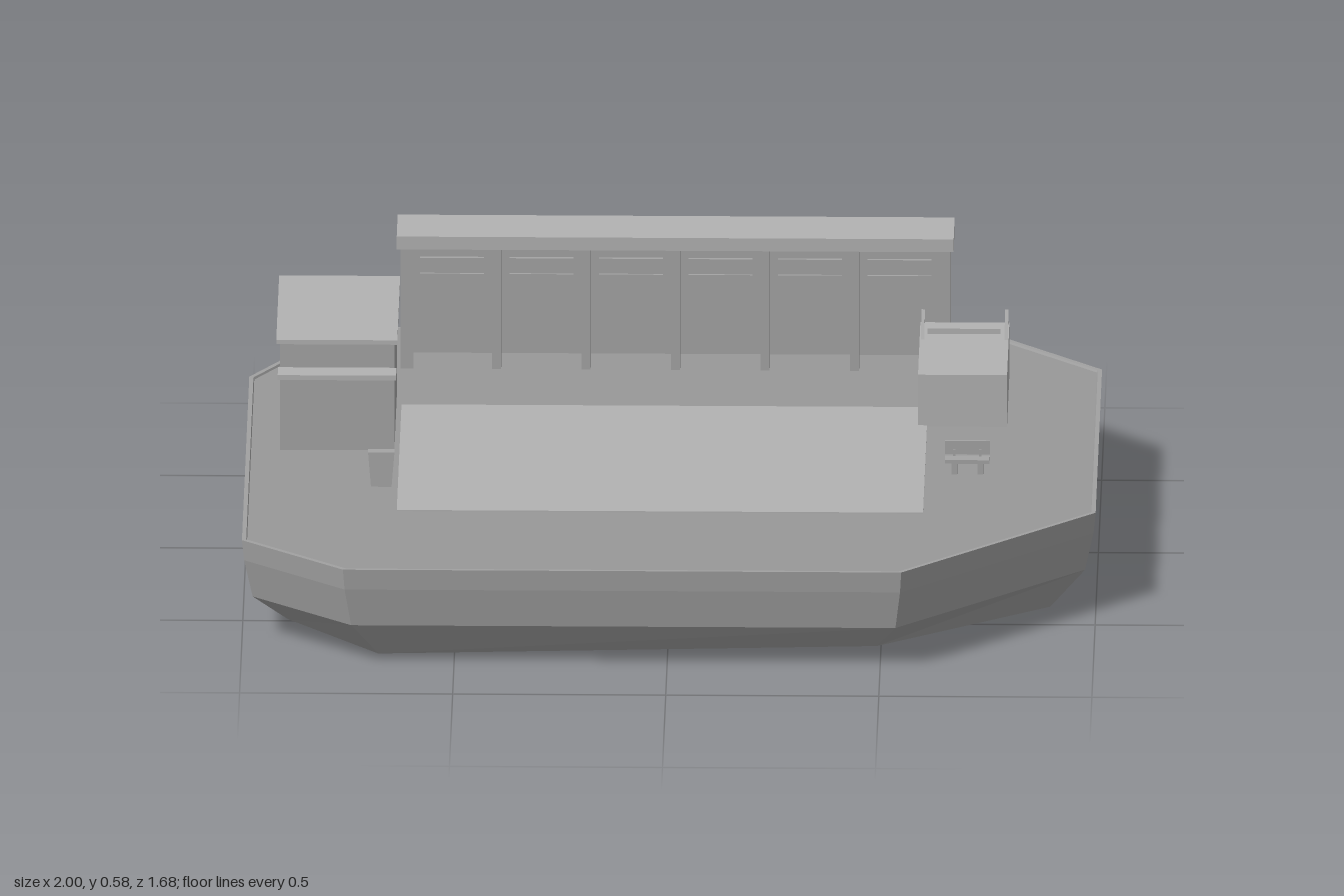
import * as THREE from 'three';

const paint = (color) => new THREE.MeshStandardMaterial({ color, side: THREE.DoubleSide });
const hullPaint = paint(0xa0a0a0);
const deckPaint = paint(0x989898);
const wallPaint = paint(0xa4a4a4);
const topPaint = paint(0xb2b2b2);
const DECK = 0.246;

// Box given by its limits on each axis
function block(parent, name, [x0, x1], [y0, y1], [z0, z1], material = wallPaint) {
  const mesh = new THREE.Mesh(new THREE.BoxGeometry(x1 - x0, y1 - y0, z1 - z0), material);
  mesh.position.set((x0 + x1) / 2, (y0 + y1) / 2, (z0 + z1) / 2);
  mesh.name = name;
  parent.add(mesh);
  return mesh;
}

function part(parent, name) {
  const group = new THREE.Group();
  group.name = name;
  parent.add(group);
  return group;
}

function surface(parent, name, corners, material) {
  const geo = new THREE.BufferGeometry();
  geo.setAttribute('position', new THREE.Float32BufferAttribute(corners, 3));
  geo.computeVertexNormals();
  const mesh = new THREE.Mesh(geo, material);
  mesh.name = name;
  parent.add(mesh);
  return mesh;
}

// Eight-sided hull: rings of the outline joined from deck to keel
function addHull(model) {
  const outline = [[-0.78, -0.84], [0.71, -0.84], [1, -0.57], [1, 0.42],
    [0.55, 0.84], [-0.76, 0.84], [-1, 0.64], [-1, -0.49]];
  const keelY = [0.01, 0.03, 0.015, 0, 0.035, 0.01, 0.03, 0.03];
  const ring = (scale, y) => outline.map(([x, z], i) => [x * scale, y ?? keelY[i], z * scale]);
  const rings = [ring(0.988, DECK), ring(0.99, 0.251), ring(1, 0.251), ring(0.995, 0.2), ring(0.975, 0.105), ring(0.893)];
  const keel = rings[rings.length - 1];
  const deck = [], sides = [], bottom = [];
  const n = outline.length;
  for (let i = 0; i < n; i++) {
    const j = (i + 1) % n;
    deck.push(0, DECK, 0, ...rings[0][j], ...rings[0][i]);
    for (let r = 0; r < rings.length - 1; r++) {
      const [a, b, c, d] = [rings[r][i], rings[r][j], rings[r + 1][j], rings[r + 1][i]];
      sides.push(...a, ...b, ...c, ...a, ...c, ...d);
    }
    bottom.push(0, 0.022, 0, ...keel[i], ...keel[j]);
  }
  const hull = part(model, 'hull');
  surface(hull, 'deck', deck, deckPaint);
  surface(hull, 'hullSides', sides, hullPaint);
  // The keel is shaded as one even face
  const normals = surface(hull, 'keel', bottom, deckPaint).geometry.attributes.normal;
  for (let i = 0; i < normals.count; i++) normals.setXYZ(i, 0, -1, 0);
}

// Long open-fronted shelter with six bays
function addShelter(model) {
  const shelter = part(model, 'shelter');
  block(shelter, 'shelterRoof', [-0.655, 0.652], [0.547, 0.579], [-0.707, -0.555], topPaint);
  block(shelter, 'backWall', [-0.645, 0.643], [DECK, 0.547], [-0.695, -0.677]);
  const pitch = 0.21;
  for (let i = 0; i <= 6; i++) {
    const x = -0.631 + i * pitch;
    const half = i % 6 === 0 ? 0.015 : 0.011;
    block(shelter, 'shelterPost', [x - half, x + half], [DECK, 0.547], [-0.592, -0.566]);
    if (i === 6) continue;
    block(shelter, 'bayPanel', [x + 0.03, x + 0.18], [0.28, 0.47], [-0.608, -0.602]);
    block(shelter, 'baySign', [x + 0.03, x + 0.18], [0.487, 0.513], [-0.601, -0.592]);
  }
}

// Kiosk with flat roof, awning and slim hanging strips
function addKiosk(model) {
  const kiosk = part(model, 'kiosk');
  block(kiosk, 'kioskWalls', [-0.92, -0.652], [DECK, 0.513], [-0.42, 0]);
  block(kiosk, 'kioskRoof', [-0.929, -0.645], [0.513, 0.524], [-0.435, 0.01], topPaint);
  block(kiosk, 'awning', [-0.925, -0.647], [0.44, 0.452], [0, 0.055], topPaint);
  for (const x of [-0.86, -0.79, -0.715]) {
    block(kiosk, 'kioskStrip', [x - 0.005, x + 0.005], [0.32, 0.425], [0, 0.008]);
  }
}

// Low hut with a sloping rack on its roof
function addHut(model) {
  const hut = part(model, 'hut');
  block(hut, 'hutBody', [0.574, 0.783], [DECK, 0.375], [-0.547, -0.184], topPaint);
  block(hut, 'rackBox', [0.592, 0.763], [0.375, 0.388], [-0.51, -0.467], topPaint);
  for (const x of [0.581, 0.777]) {
    const rail = block(hut, 'rackRail', [x - 0.004, x + 0.004], [0.386, 0.394], [-0.538, -0.425]);
    rail.rotation.x = 0.33;
  }
}

// Bench with backrest
function addBench(model) {
  const bench = part(model, 'bench');
  block(bench, 'benchSeat', [0.642, 0.747], [0.274, 0.283], [0.118, 0.15]);
  block(bench, 'benchBack', [0.642, 0.747], [0.287, 0.32], [0.114, 0.12]);
  for (const x of [0.664, 0.725]) {
    block(bench, 'benchLeg', [x - 0.007, x + 0.007], [DECK, 0.274], [0.121, 0.146]);
    block(bench, 'backBracket', [x - 0.003, x + 0.003], [0.274, 0.3], [0.116, 0.123]);
  }
}

// Bin that narrows toward its foot
function addBin(model) {
  const bin = block(model, 'bin', [-0.71, -0.648], [DECK, 0.33], [0.221, 0.252]);
  const p = bin.geometry.attributes.position;
  for (let i = 0; i < p.count; i++) {
    if (p.getY(i) < 0) p.setX(i, p.getX(i) * 0.78);
    else p.setZ(i, p.getZ(i) * 0.8);
  }
  bin.geometry.computeVertexNormals();
}

export function createModel() {
  const model = new THREE.Group();
  model.name = 'floatingPlatform';
  addHull(model);
  block(model, 'courtSurface', [-0.64, 0.595], [DECK - 0.01, 0.249], [-0.31, 0.42], topPaint);
  addShelter(model);
  addKiosk(model);
  addHut(model);
  addBench(model);
  addBin(model);
  return model;
}
